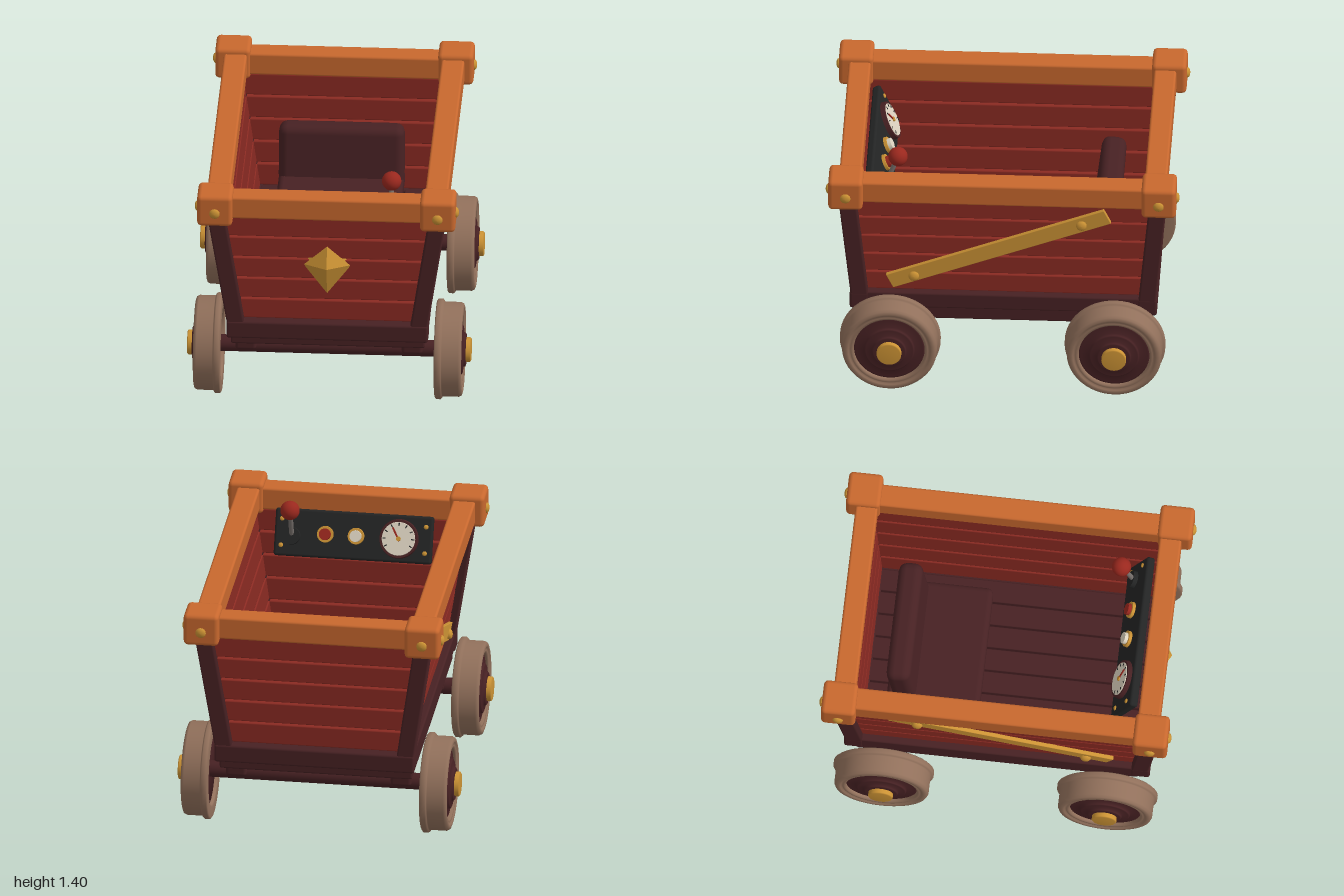
import * as THREE from 'three';
import { RoundedBoxGeometry } from 'three/addons/geometries/RoundedBoxGeometry.js';

const mat = (name, color) => {
  const m = new THREE.MeshStandardMaterial({ color });
  m.name = name;
  return m;
};

export function createModel() {
  const cart = new THREE.Group();
  cart.name = 'woodenCart';
  const M = {
    red: mat('redPlanks', 0x8a2a22),
    dark: mat('darkWood', 0x472123),
    orange: mat('orangeWood', 0xc8682e),
    gold: mat('brass', 0xcb9234),
    tan: mat('tanRim', 0x91705b),
    black: mat('blackPanel', 0x232424),
    cream: mat('creamDial', 0xddd3c0),
    knob: mat('redKnob', 0x9a281e),
    grey: mat('greySteel', 0x77706c),
  };

  const add = (parent, name, geo, material, x = 0, y = 0, z = 0) => {
    const m = new THREE.Mesh(geo, material);
    m.name = name;
    m.position.set(x, y, z);
    parent.add(m);
    return m;
  };
  const box = (w, h, d, r = 0.01) => new RoundedBoxGeometry(w, h, d, 2, r);
  // lean a geometry outwards as it rises
  const lean = (geo, kx, kz) => {
    const p = geo.attributes.position;
    for (let i = 0; i < p.count; i++) {
      p.setX(i, p.getX(i) + kx * p.getY(i));
      p.setZ(i, p.getZ(i) + kz * p.getY(i));
    }
    return geo;
  };
  // domed bolt head facing +y
  const boltGeo = new THREE.LatheGeometry(
    [[0.03, -0.012], [0.03, 0.004], [0.024, 0.012], [0.012, 0.017], [0, 0.018]].map(a => new THREE.Vector2(...a)), 16);
  const KX = 0.15, KZ = 0.09;
  const wallX = y => 0.5 + (y - 0.555) * KX;
  const wallZ = y => 0.795 + (y - 0.555) * KZ;

  // plank walls on all four sides
  for (let i = 0; i < 5; i++) {
    const y = 0.621 + i * 0.137;
    const halfX = wallX(y) + 0.01, halfZ = wallZ(y) + 0.01;
    for (const s of [-1, 1]) {
      add(cart, 'endPlank', lean(box(halfX * 2, 0.128, 0.055, 0.008), 0, s * KZ), M.red, 0, y, s * wallZ(y));
      add(cart, 'sidePlank', lean(box(0.055, 0.128, halfZ * 2, 0.008), s * KX, 0), M.red, s * wallX(y), y, 0);
    }
  }

  // leaning corner posts, corner blocks and their bolts
  for (const sx of [-1, 1]) for (const sz of [-1, 1]) {
    add(cart, 'cornerPost', lean(box(0.1, 0.78, 0.1, 0.012), sx * KX, sz * KZ), M.dark, sx * 0.568, 0.87, sz * 0.843);
    add(cart, 'cornerBlock', box(0.2, 0.19, 0.195, 0.025), M.orange, sx * 0.63, 1.31, sz * 0.885);
    add(cart, 'blockBoltEnd', boltGeo, M.gold, sx * 0.63, 1.3, sz * 0.982).rotation.x = sz * Math.PI / 2;
    add(cart, 'blockBoltSide', boltGeo, M.gold, sx * 0.729, 1.3, sz * 0.885).rotation.z = -sx * Math.PI / 2;
  }

  // top rails and bottom frame
  for (const s of [-1, 1]) {
    add(cart, 'endRail', box(1.12, 0.135, 0.125, 0.014), M.orange, 0, 1.308, s * 0.863);
    add(cart, 'sideRail', box(0.13, 0.135, 1.62, 0.014), M.orange, s * 0.615, 1.308, 0);
    add(cart, 'endSill', box(1.14, 0.108, 0.108, 0.014), M.dark, 0, 0.499, s * 0.814);
    add(cart, 'sideSill', box(0.1, 0.1, 1.7, 0.012), M.dark, s * 0.517, 0.508, 0);
    add(cart, 'sideBeam', box(0.11, 0.135, 1.6, 0.012), M.dark, s * 0.494, 0.443, 0);
    add(cart, 'crossBeam', box(0.96, 0.11, 0.09, 0.012), M.dark, 0, 0.43, s * 0.755);
  }

  // floor boards
  for (let i = -3; i <= 3; i++)
    add(cart, 'floorBoard', box(0.126, 0.04, 1.56, 0.006), M.dark, i * 0.136, 0.53, 0);

  // diagonal brass braces
  for (const s of [-1, 1]) {
    const g = box(0.025, 0.105, 1.345, 0.005);
    g.rotateX(0.404);
    add(cart, 'diagonalBrace', lean(g, s * KX, 0), M.gold, s * (wallX(0.895) + 0.038), 0.895, 0.025);
    for (const [y, z] of [[0.68, 0.505], [1.095, -0.445]])
      add(cart, 'braceBolt', boltGeo, M.gold, s * (wallX(y) + 0.055), y, z).rotation.z = -s * (Math.PI / 2 - KX);
  }

  // faceted diamond badge on the front
  const badge = new THREE.ConeGeometry(1, 1, 4, 1).toNonIndexed();
  badge.rotateX(Math.PI / 2);
  badge.computeVertexNormals();
  badge.scale(0.135, 0.175, 0.08);
  badge.computeVertexNormals();
  add(cart, 'diamondBadge', badge, M.gold, 0, 0.93, 0.893).rotation.x = -KZ;

  // axles, brackets and flanged wheels
  const lathe = pts => new THREE.LatheGeometry(pts.map(a => new THREE.Vector2(...a)), 48);
  const rimGeo = lathe([[0.2, 0.03], [0.205, 0.004], [0.215, 0], [0.275, 0], [0.285, 0.008], [0.285, 0.032],
    [0.277, 0.04], [0.268, 0.044], [0.268, 0.135], [0.26, 0.15], [0.245, 0.155], [0.232, 0.152],
    [0.226, 0.143], [0.218, 0.148], [0.207, 0.146], [0.2, 0.138], [0.2, 0.03]]);
  const discGeo = lathe([[0, 0.02], [0.202, 0.02], [0.202, 0.128], [0.19, 0.132], [0.145, 0.132],
    [0.14, 0.148], [0.132, 0.152], [0.1, 0.152], [0.095, 0.165], [0.088, 0.17], [0, 0.17]]);
  const capGeo = lathe([[0.07, 0.15], [0.07, 0.192], [0.064, 0.198], [0, 0.198]]);
  for (const sz of [-1, 1]) {
    const axle = add(cart, 'axle', new THREE.CylinderGeometry(0.047, 0.047, 1.26, 24), M.dark, 0, 0.292, sz * 0.635);
    axle.rotation.z = Math.PI / 2;
    for (const sx of [-1, 1]) {
      add(cart, 'axleBracket', box(0.12, 0.125, 0.125, 0.02), M.dark, sx * 0.47, 0.342, sz * 0.635);
      add(cart, 'bracketTop', box(0.08, 0.08, 0.19, 0.015), M.dark, sx * 0.45, 0.405, sz * 0.635);
      const wheel = new THREE.Group();
      wheel.name = 'wheel';
      wheel.position.set(sx * 0.604, 0.29, sz * 0.635);
      wheel.rotation.z = -sx * Math.PI / 2;
      add(wheel, 'wheelRim', rimGeo, M.tan);
      add(wheel, 'wheelDisc', discGeo, M.dark);
      add(wheel, 'hubCap', capGeo, M.gold);
      cart.add(wheel);
    }
  }

  // seat
  add(cart, 'seatBase', box(0.67, 0.14, 0.46, 0.02), M.dark, 0, 0.615, -0.37);
  add(cart, 'seatCushion', box(0.71, 0.1, 0.53, 0.035), M.dark, 0, 0.715, -0.385);
  add(cart, 'seatBack', box(0.71, 0.36, 0.14, 0.05), M.dark, 0, 0.88, -0.57).rotation.x = -0.12;

  // control panel, facing backwards and up
  const panel = new THREE.Group();
  panel.name = 'controlPanel';
  panel.position.set(0, 1.155, 0.71);
  panel.rotation.x = 0.436;
  cart.add(panel);
  add(panel, 'panelBoard', box(0.9, 0.27, 0.05, 0.015), M.black);
  const disc = (name, r, z0, z1, m, x, y) =>
    add(panel, name, new THREE.CylinderGeometry(r, r * 0.96, z1 - z0, 32), m, x, y, -(z0 + z1) / 2)
      .rotation.x = Math.PI / 2;
  disc('gaugeRim', 0.113, 0.02, 0.05, M.dark, -0.26, 0);
  disc('gaugeFace', 0.098, 0.045, 0.054, M.cream, -0.26, 0);
  disc('gaugePin', 0.014, 0.05, 0.062, M.gold, -0.26, 0);
  add(panel, 'gaugeNeedle', new THREE.BoxGeometry(0.01, 0.085, 0.005), M.knob, -0.245, 0.025, -0.057).rotation.z = -0.5;
  for (let i = 0; i < 9; i++) {
    const a = -2.1 + i * 0.525;
    add(panel, 'gaugeTick', new THREE.BoxGeometry(0.006, 0.018, 0.003), M.black,
      -0.26 + 0.082 * Math.sin(a), 0.082 * Math.cos(a), -0.055).rotation.z = -a;
  }
  for (const [x, m, name] of [[-0.015, M.cream, 'whiteButton'], [0.16, M.knob, 'redButton']]) {
    disc('buttonRing', 0.048, 0.02, 0.042, M.gold, x, 0);
    disc(name, 0.034, 0.035, 0.062, m, x, 0);
  }
  for (const x of [-0.41, 0.41]) for (const y of [-0.075, 0.075]) {
    const b = add(panel, 'panelScrew', boltGeo, M.gold, x, y, -0.026);
    b.scale.setScalar(0.45);
    b.rotation.x = -Math.PI / 2;
  }

  // lever
  disc('leverBase', 0.05, 0.02, 0.05, M.black, 0.35, -0.02);
  const path = new THREE.LineCurve3(new THREE.Vector3(0.35, 1.15, 0.675), new THREE.Vector3(0.35, 1.34, 0.605));
  add(cart, 'leverStick', new THREE.TubeGeometry(path, 1, 0.014, 12), M.grey);
  add(cart, 'leverKnob', new THREE.SphereGeometry(0.055, 24, 16), M.knob, 0.35, 1.34, 0.605);

  return cart;
}
